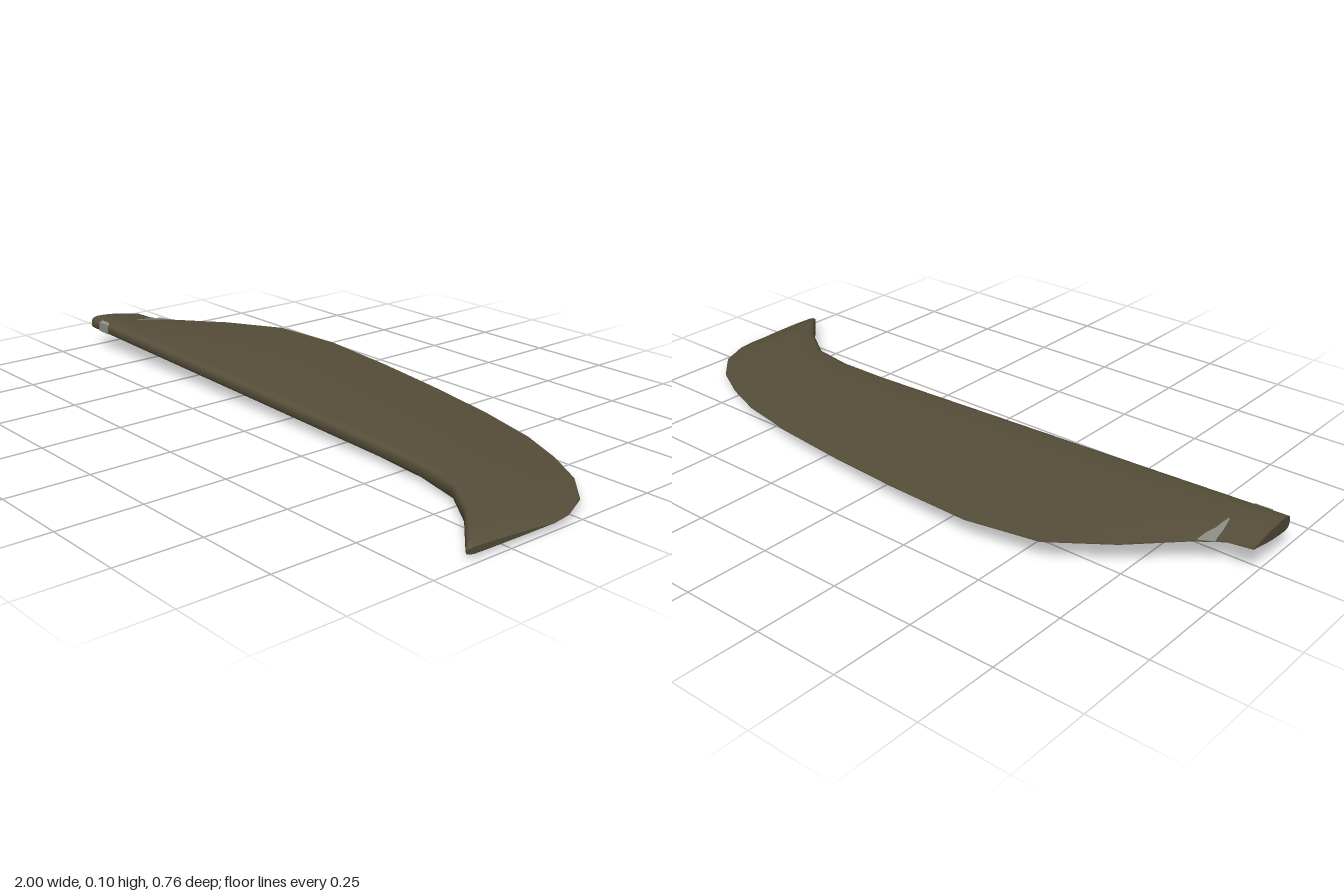
import * as THREE from 'three';
import { toCreasedNormals } from 'three/addons/utils/BufferGeometryUtils.js';

// Stations from root to tip: [x lead, z lead, x trail, z trail, thickness scale]
const STATIONS = [
  [-1, 0.132, -1, -0.05, 1],
  [-0.93, 0.132, -0.93, -0.06, 1],
  [-0.86, 0.132, -0.86, -0.11, 1],
  [-0.73, 0.132, -0.73, -0.235, 1],
  [-0.57, 0.132, -0.57, -0.345, 1],
  [-0.35, 0.132, -0.35, -0.378, 1],
  [-0.08, 0.132, -0.08, -0.362, 1],
  [0.16, 0.132, 0.16, -0.337, 1],
  [0.42, 0.132, 0.4, -0.303, 1],
  [0.59, 0.14, 0.6, -0.258, 1],
  [0.73, 0.168, 0.74, -0.203, 1],
  [0.85, 0.25, 0.86, -0.137, 1],
  [0.91, 0.31, 0.95, -0.05, 1],
  [0.965, 0.365, 0.99, 0.04, 0.85],
  [0.98, 0.378, 1, 0.1, 0.35],
];
// Distances behind the leading edge, as fractions of the chord after the nose
const NOSE = [0, 0.004, 0.012, 0.026];
const AFT = [0.15, 0.3, 0.45, 0.6, 0.75, 0.88, 1];

const centreY = (x) => 0.079 - 0.0285 * (x + 1);

// Half thickness at distance d behind the leading edge
function halfThickness(d, chord, x) {
  const full = THREE.MathUtils.lerp(0.021, 0.0235, (x + 1) / 2);
  const nose = 0.026;
  if (d < nose) return full * (0.4 + 0.6 * Math.sqrt(1 - (1 - d / nose) ** 2));
  const s = Math.min(1, (d - nose) / (chord - nose));
  return Math.max(0.0012, full * (1 - s ** 1.7));
}

// Closed aerofoil ring: trailing edge, over the top to the nose, back underneath
function section([xl, zl, xt, zt, scale]) {
  const chord = zl - zt;
  const dist = [...NOSE, ...AFT.map((t) => 0.026 + t * (chord - 0.026))];
  const at = (d, side) => {
    const x = THREE.MathUtils.lerp(xl, xt, d / chord);
    return [x, centreY(x) + side * scale * halfThickness(d, chord, x), zl - d];
  };
  return [...dist.slice().reverse().map((d) => at(d, 1)), ...dist.map((d) => at(d, -1))];
}

function bladeGeometry() {
  const rings = STATIONS.map(section);
  const n = rings[0].length;
  const index = [];
  for (let i = 0; i < rings.length - 1; i++) {
    for (let j = 0; j < n; j++) {
      const k = (j + 1) % n;
      const a = i * n + j, b = a + n, c = i * n + k, d = c + n;
      index.push(a, c, b, b, c, d);
    }
  }
  // end caps
  const last = (rings.length - 1) * n;
  for (let j = 1; j < n - 1; j++) {
    index.push(0, j + 1, j, last, last + j, last + j + 1);
  }
  const g = new THREE.BufferGeometry();
  g.setAttribute('position', new THREE.Float32BufferAttribute(rings.flat(2), 3));
  g.setIndex(index);
  return toCreasedNormals(g, 0.8);
}

// Chord of the blade near the root, for placing worn patches
function chordAt(x) {
  const i = Math.max(1, STATIONS.findIndex((s) => s[0] >= x));
  const p = STATIONS[i - 1], q = STATIONS[i];
  return 0.132 - THREE.MathUtils.lerp(p[3], q[3], (x - p[0]) / (q[0] - p[0]));
}

// Thin skin following the blade; rows hold [z, x from, x to]
function patchGeometry(rows, side) {
  const pos = [], index = [];
  for (const [z, x0, x1] of rows) {
    for (const x of [x0, x1]) {
      const h = halfThickness(0.132 - z, chordAt(x), x) + 0.0015;
      pos.push(x, centreY(x) + side * h, z);
    }
  }
  for (let i = 0; i < rows.length - 1; i++) {
    const a = i * 2;
    index.push(a, a + 2, a + 1, a + 1, a + 2, a + 3);
  }
  const g = new THREE.BufferGeometry();
  g.setAttribute('position', new THREE.Float32BufferAttribute(pos, 3));
  g.setIndex(side > 0 ? index : index.reverse());
  g.computeVertexNormals();
  return g;
}

export function createModel() {
  const group = new THREE.Group();
  const olive = new THREE.MeshStandardMaterial({ color: 0x564e39 });
  olive.name = 'olivePaint';
  const grey = new THREE.MeshStandardMaterial({ color: 0x8c8c86 });
  grey.name = 'bareMetal';

  const add = (name, geometry, material) => {
    const mesh = new THREE.Mesh(geometry, material);
    mesh.name = name;
    group.add(mesh);
  };

  add('blade', bladeGeometry(), olive);

  // worn patch near the trailing edge, above and below
  const worn = [
    [-0.098, -0.872, -0.868], [-0.08, -0.91, -0.87], [-0.062, -0.905, -0.872],
    [-0.03, -0.902, -0.882], [0, -0.896, -0.884], [0.022, -0.89, -0.888],
  ];
  add('wornPatchTop', patchGeometry(worn, 1), grey);
  add('wornPatchBottom', patchGeometry(worn.slice(0, 4), -1), grey);

  // bare plate wrapped over the leading edge
  const plate = new THREE.BoxGeometry(0.052, 0.03, 0.003);
  plate.rotateZ(-0.0285);
  plate.translate(-0.925, centreY(-0.925), 0.1315);
  add('leadingEdgePlate', plate, grey);
  add('leadingEdgeLip', patchGeometry([[0.121, -0.942, -0.908], [0.126, -0.95, -0.9], [0.131, -0.95, -0.9]], 1), grey);

  return group;
}
